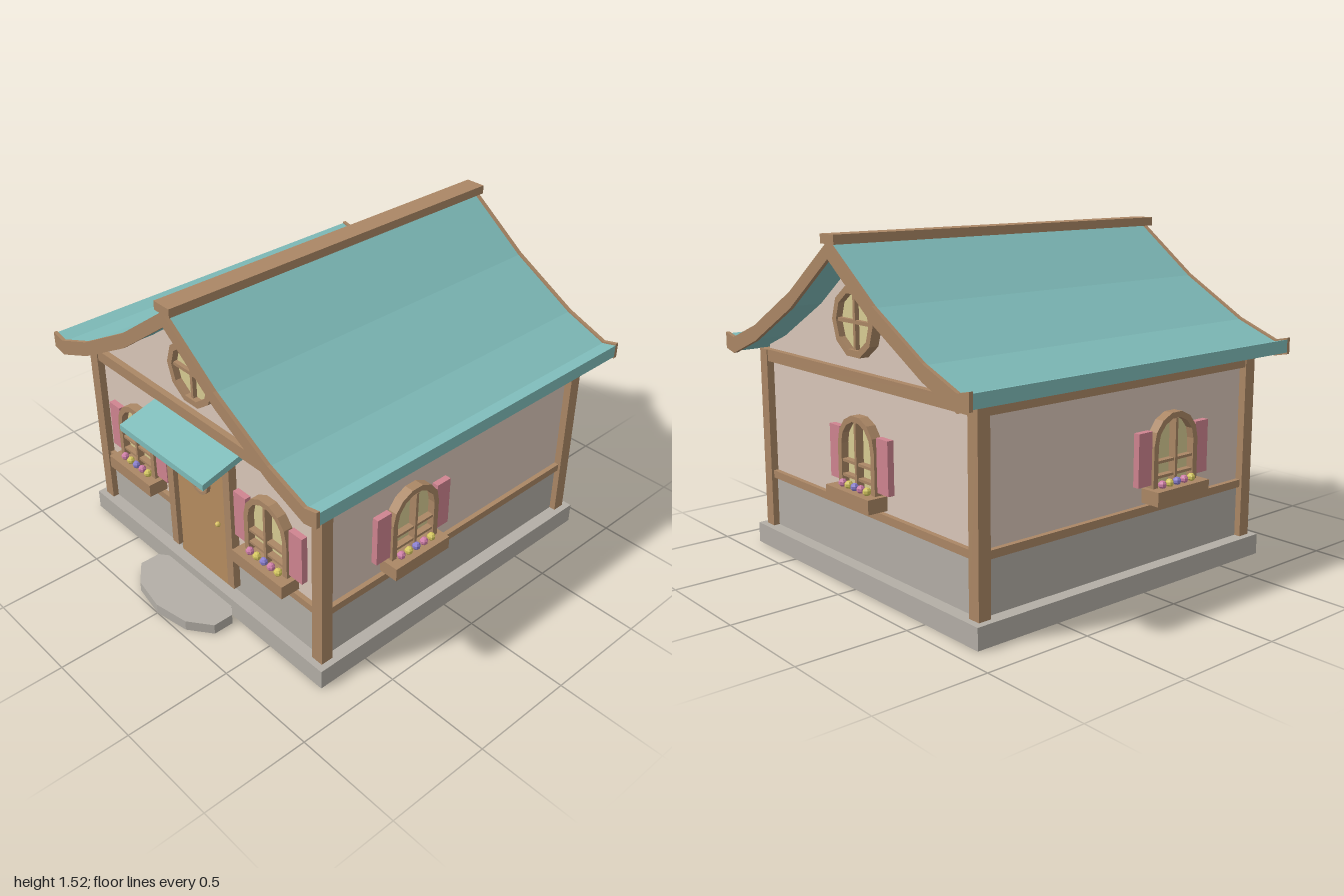
import * as THREE from 'three';

const mat = (color) => new THREE.MeshStandardMaterial({ color, flatShading: true });
const timber = mat(0xab8765), plaster = mat(0xdac7b9), stone = mat(0xb3aea6), teal = mat(0x7fbcba);
const pink = mat(0xcf8490), glass = mat(0xd8cc93), doorWood = mat(0xb68d5f), brass = mat(0xd8c060);
const petals = [mat(0xd07fa8), mat(0xd6c860), mat(0x8a7fd0), mat(0xd07fa8), mat(0xd6c860)];

const HALF = 0.805;   // half width to the outside of the posts
const WALL = 0.77;    // half width to the plaster

function add(parent, name, geometry, material, x = 0, y = 0, z = 0) {
  const mesh = new THREE.Mesh(geometry, material);
  mesh.name = name;
  mesh.position.set(x, y, z);
  parent.add(mesh);
  return mesh;
}

// box given by its limits on each axis
function box(parent, name, material, [x0, x1], [y0, y1], [z0, z1]) {
  return add(parent, name, new THREE.BoxGeometry(x1 - x0, y1 - y0, z1 - z0), material,
    (x0 + x1) / 2, (y0 + y1) / 2, (z0 + z1) / 2);
}

function group(parent, name, x = 0, y = 0, z = 0) {
  const g = new THREE.Group();
  g.name = name;
  g.position.set(x, y, z);
  parent.add(g);
  return g;
}

const extrude = (shape, depth) => new THREE.ExtrudeGeometry(shape, { depth, bevelEnabled: false });

// regular polygon outline
function polygon(r, n) {
  return Array.from({ length: n }, (_, i) => {
    const a = (i / n) * Math.PI * 2;
    return new THREE.Vector2(r * Math.cos(a), r * Math.sin(a));
  });
}

// arched outline: straight jambs and a faceted half circle on top
function arch(r, bottom, spring, n = 7) {
  const pts = [new THREE.Vector2(-r, bottom), new THREE.Vector2(r, bottom)];
  for (let i = 0; i <= n; i++) {
    const a = (i / n) * Math.PI;
    pts.push(new THREE.Vector2(r * Math.cos(a), spring + r * Math.sin(a)));
  }
  return pts;
}

function framed(outer, inner, depth) {
  const shape = new THREE.Shape(outer);
  shape.holes.push(new THREE.Path(inner));
  return extrude(shape, depth);
}

// arched window with shutters and a flower box, facing +z
function archedWindow(side, x) {
  const w = group(side, 'archedWindow', x);
  add(w, 'windowFrame', framed(arch(0.137, 0.42, 0.623), arch(0.11, 0.44, 0.623), 0.055), timber, 0, 0, WALL - 0.01);
  add(w, 'windowGlass', extrude(new THREE.Shape(arch(0.112, 0.43, 0.623)), 0.02), glass, 0, 0, WALL - 0.01);
  box(w, 'verticalGlazingBar', timber, [-0.007, 0.007], [0.44, 0.73], [WALL, 0.817]);
  for (const y of [0.485, 0.55]) box(w, 'glazingBar', timber, [-0.11, 0.11], [y - 0.006, y + 0.006], [WALL, 0.81]);
  for (const s of [-1, 1]) add(w, 'shutter', new THREE.BoxGeometry(0.08, 0.235, 0.03), pink, s * 0.178, 0.573, WALL + 0.018);
  box(w, 'flowerBox', timber, [-0.162, 0.162], [0.377, 0.44], [WALL - 0.01, 0.866]);
  petals.forEach((m, i) =>
    add(w, 'flower', new THREE.SphereGeometry(0.019, 7, 5), m, (i - 2) * 0.046, 0.454, 0.824));
}

function roundWindow(side) {
  const w = group(side, 'gableWindow', 0, 1.155, WALL - 0.01);
  add(w, 'gableWindowFrame', framed(polygon(0.152, 10), polygon(0.122, 10), 0.055), timber);
  add(w, 'gableWindowGlass', extrude(new THREE.Shape(polygon(0.125, 10)), 0.025), glass);
  box(w, 'verticalGlazingBar', timber, [-0.008, 0.008], [-0.118, 0.118], [0.01, 0.045]);
  box(w, 'glazingBar', timber, [-0.122, 0.122], [-0.008, 0.008], [0.01, 0.045]);
}

// curved roof cross-section: half of it as [x, top, bottom], from ridge to eave
const ROOF = [[0, 1.49, 1.42], [0.31, 1.262, 1.19], [0.628, 1.083, 1.012], [0.835, 1.004, 0.93], [0.905, 1.02, 0.945]];
function roofShape(inset) {
  const mirrored = (k, d) => [
    ...ROOF.slice(1).reverse().map((p) => new THREE.Vector2(-p[0], p[k] + d)),
    ...ROOF.map((p) => new THREE.Vector2(p[0], p[k] + d)),
  ];
  return new THREE.Shape([...mirrored(2, inset), ...mirrored(1, -inset).reverse()]);
}

function buildRoof(house) {
  const roof = group(house, 'roof');
  const end = 0.92, trim = 0.015;
  add(roof, 'roofCovering', extrude(roofShape(0.008), 2 * (end - trim)), teal, 0, 0, trim - end);
  for (const z of [-end - 0.003, end - trim]) add(roof, 'bargeBoard', extrude(roofShape(0), trim + 0.003), timber, 0, 0, z);
  box(roof, 'ridgeBeam', timber, [-0.05, 0.05], [1.48, 1.52], [-0.923, 0.923]);
  // gable fill running up to the underside of the roof
  const gable = new THREE.Shape();
  gable.moveTo(-0.775, 0.93).lineTo(0.775, 0.93).lineTo(0.775, 0.97);
  gable.lineTo(0.628, 1.03).lineTo(0.31, 1.21).lineTo(0, 1.44);
  gable.lineTo(-0.31, 1.21).lineTo(-0.628, 1.03).lineTo(-0.775, 0.97);
  add(roof, 'gableWalls', extrude(gable, 2 * WALL), plaster, 0, 0, -WALL);
}

function buildDoor(front) {
  const door = group(front, 'entrance');
  box(door, 'doorPanel', doorWood, [-0.19, 0.19], [0.095, 0.79], [WALL - 0.02, WALL + 0.015]);
  for (const s of [-1, 1])
    add(door, 'doorJamb', new THREE.BoxGeometry(0.045, 0.675, 0.06), timber, s * 0.2075, 0.4725, WALL + 0.01);
  box(door, 'doorLintel', timber, [-0.185, 0.185], [0.785, 0.81], [WALL - 0.02, WALL + 0.04]);
  add(door, 'doorWindowFrame', framed(polygon(0.063, 12), polygon(0.048, 12), 0.025), timber, 0, 0.6, WALL + 0.01);
  add(door, 'doorWindowGlass', extrude(new THREE.Shape(polygon(0.05, 12)), 0.012), glass, 0, 0.6, WALL + 0.01);
  add(door, 'doorKnob', new THREE.SphereGeometry(0.013, 8, 6), brass, 0.117, 0.43, WALL + 0.028);

  // sloping awning: side profile extruded across the door
  const profile = new THREE.Shape();
  profile.moveTo(-0.99, 0.81).lineTo(-0.77, 0.87).lineTo(-0.77, 0.9).lineTo(-0.99, 0.84);
  const awning = add(door, 'awning', extrude(profile, 0.59), teal, -0.295, 0, 0);
  awning.rotation.y = Math.PI / 2;
}

export function createModel() {
  const model = new THREE.Group();
  model.name = 'cottage';
  const house = group(model, 'house', 0, 0, -0.077);

  // plinth, lower stone wall and plaster body
  box(house, 'plinth', stone, [-0.835, 0.835], [0, 0.095], [-0.835, 0.835]);
  box(house, 'stoneWall', stone, [-0.775, 0.775], [0.09, 0.335], [-0.775, 0.775]);
  box(house, 'plasterWalls', plaster, [-WALL, WALL], [0.33, 0.94], [-WALL, WALL]);

  // corner posts
  for (const x of [-1, 1]) for (const z of [-1, 1])
    add(house, 'cornerPost', new THREE.BoxGeometry(0.06, 0.85, 0.06), timber, x * 0.775, 0.52, z * 0.775);

  // four sides, each built facing +z and turned into place
  const names = ['front', 'leftSide', 'back', 'rightSide'];
  const windows = [[-0.465, 0.465], [-0.277], [0], [0.277]];
  names.forEach((name, i) => {
    const side = group(house, name);
    side.rotation.y = (i * Math.PI) / 2;
    box(side, 'topBeam', timber, [-0.745, 0.745], [0.89, 0.945], [WALL - 0.03, HALF - 0.005]);
    const rails = i === 0 ? [[-0.745, -0.23], [0.23, 0.745]] : [[-0.745, 0.745]];
    for (const span of rails) box(side, 'middleRail', timber, span, [0.33, 0.365], [WALL - 0.02, HALF - 0.012]);
    for (const x of windows[i]) archedWindow(side, x);
    if (i % 2 === 0) roundWindow(side);
    if (i === 0) buildDoor(side);
  });

  buildRoof(house);

  // rounded doorstep
  const step = add(model, 'doorstep', new THREE.CylinderGeometry(1, 1, 0.05, 10), stone, 0, 0.025, 0.84);
  step.scale.set(0.294, 1, 0.16);
  return model;
}
